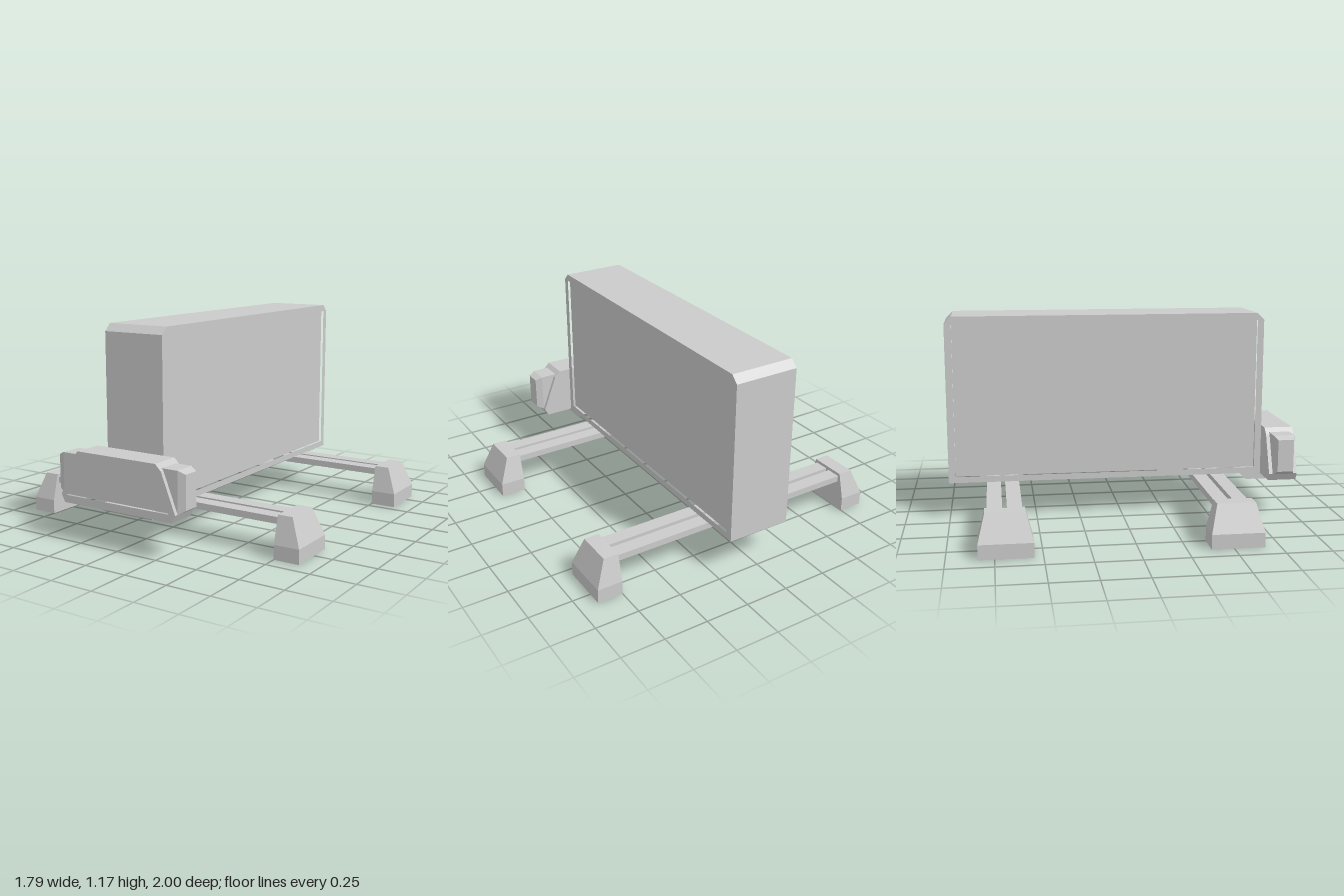
import * as THREE from 'three';

const material = new THREE.MeshStandardMaterial({ color: 0xcccccc, flatShading: true });

function addMesh(parent, name, geometry, x = 0, y = 0, z = 0) {
  const mesh = new THREE.Mesh(geometry, material);
  mesh.name = name;
  mesh.position.set(x, y, z);
  parent.add(mesh);
  return mesh;
}

const toPoints = (list) => list.map(([x, y]) => new THREE.Vector2(x, y));

// Straight extrusion centred on its depth, with an optional hole
function prism(outline, depth, hole) {
  const shape = new THREE.Shape(toPoints(outline));
  if (hole) shape.holes.push(new THREE.Path(toPoints(hole)));
  return new THREE.ExtrudeGeometry(shape, { depth, bevelEnabled: false }).translate(0, 0, -depth / 2);
}

// Profile given as [z, y] and extruded across x
function sidePrism(outline, width, hole) {
  const flip = (list) => list && list.map(([z, y]) => [-z, y]);
  return prism(flip(outline), width, flip(hole)).rotateY(Math.PI / 2);
}

// Moves every vertex of a geometry by a rule
function reshape(geometry, rule) {
  const p = geometry.attributes.position;
  const v = new THREE.Vector3();
  for (let i = 0; i < p.count; i++) {
    rule(v.fromBufferAttribute(p, i));
    p.setXYZ(i, v.x, v.y, v.z);
  }
  geometry.computeVertexNormals();
  return geometry;
}

// Mirrors an x-symmetric outline given by its right half, top to bottom
const mirrored = (half) => [...half, ...half.map(([x, y]) => [-x, y]).reverse()];

// Foot: square base, tapered above, with an upright inner face at x = 0.75
function footGeometry() {
  return reshape(new THREE.BoxGeometry(2, 2, 2, 1, 2, 1), (v) => {
    const top = v.y > 0.5;
    v.z *= top ? 0.105 : 0.144;
    v.x = v.x < 0 ? 0.75 : top ? 0.835 : 0.895;
    v.y = top ? 0.23 : v.y < -0.5 ? 0 : 0.08;
  });
}

// Side pod: a block whose outer end is chamfered all round
function podGeometry() {
  return reshape(new THREE.BoxGeometry(2, 2, 2, 2, 1, 1), (v) => {
    const end = v.x > 0.5;
    v.z *= end ? 0.045 : 0.061;
    v.y = v.y > 0 ? (end ? 0.463 : 0.482) : (end ? 0.277 : 0.253);
    v.x = end ? 0.415 : v.x < -0.5 ? 0.24 : 0.375;
  });
}

export function createModel() {
  const model = new THREE.Group();
  model.name = 'model';

  // Tall slab body: chamfered shell with a sunken panel on each side
  const body = new THREE.Group();
  body.name = 'body';
  model.add(body);
  addMesh(body, 'bodyShell', sidePrism(
    [[0.835, 0.215], [0.835, 1.13], [0.795, 1.17], [-0.96, 1.17], [-1, 1.13], [-1, 0.215]], 0.37,
    [[0.797, 0.25], [0.797, 1.13], [-0.96, 1.13], [-0.96, 0.25]]));
  addMesh(body, 'sidePanels', new THREE.BoxGeometry(0.34, 0.88, 1.757), 0, 0.69, -0.0815);

  // Head: faceted frame with a sunken face and two side pods
  const head = new THREE.Group();
  head.name = 'head';
  model.add(head);
  const outline = mirrored([[0.255, 0.505], [0.29, 0.47], [0.375, 0.255], [0.353, 0.213]]);
  const opening = mirrored([[0.25, 0.465], [0.335, 0.255]]);
  addMesh(head, 'headFrame', prism(outline, 0.165, opening), 0, 0, 0.9175);
  addMesh(head, 'facePanel', prism(opening, 0.147), 0, 0, 0.9085);
  for (const side of [1, -1]) {
    const pod = addMesh(head, side > 0 ? 'leftPod' : 'rightPod', podGeometry(), 0, 0, 0.917);
    if (side < 0) pod.rotation.y = Math.PI;
  }

  // Wedge under the head
  addMesh(model, 'chin', sidePrism(
    [[0.96, 0.215], [0.71, 0.215], [0.755, 0.172], [0.905, 0.172]], 0.33));

  // Two outriggers: a pair of rails with a foot at each end
  for (const [name, z] of [['front', 0.522], ['rear', -0.692]]) {
    const outrigger = new THREE.Group();
    outrigger.name = name + 'Outrigger';
    outrigger.position.z = z;
    model.add(outrigger);
    for (const s of [1, -1]) {
      addMesh(outrigger, s > 0 ? 'frontRail' : 'rearRail',
        new THREE.BoxGeometry(1.52, 0.037, 0.081), 0, 0.193, s * 0.0525);
      const foot = addMesh(outrigger, s > 0 ? 'leftFoot' : 'rightFoot', footGeometry());
      if (s < 0) foot.rotation.y = Math.PI;
    }
  }
  return model;
}
